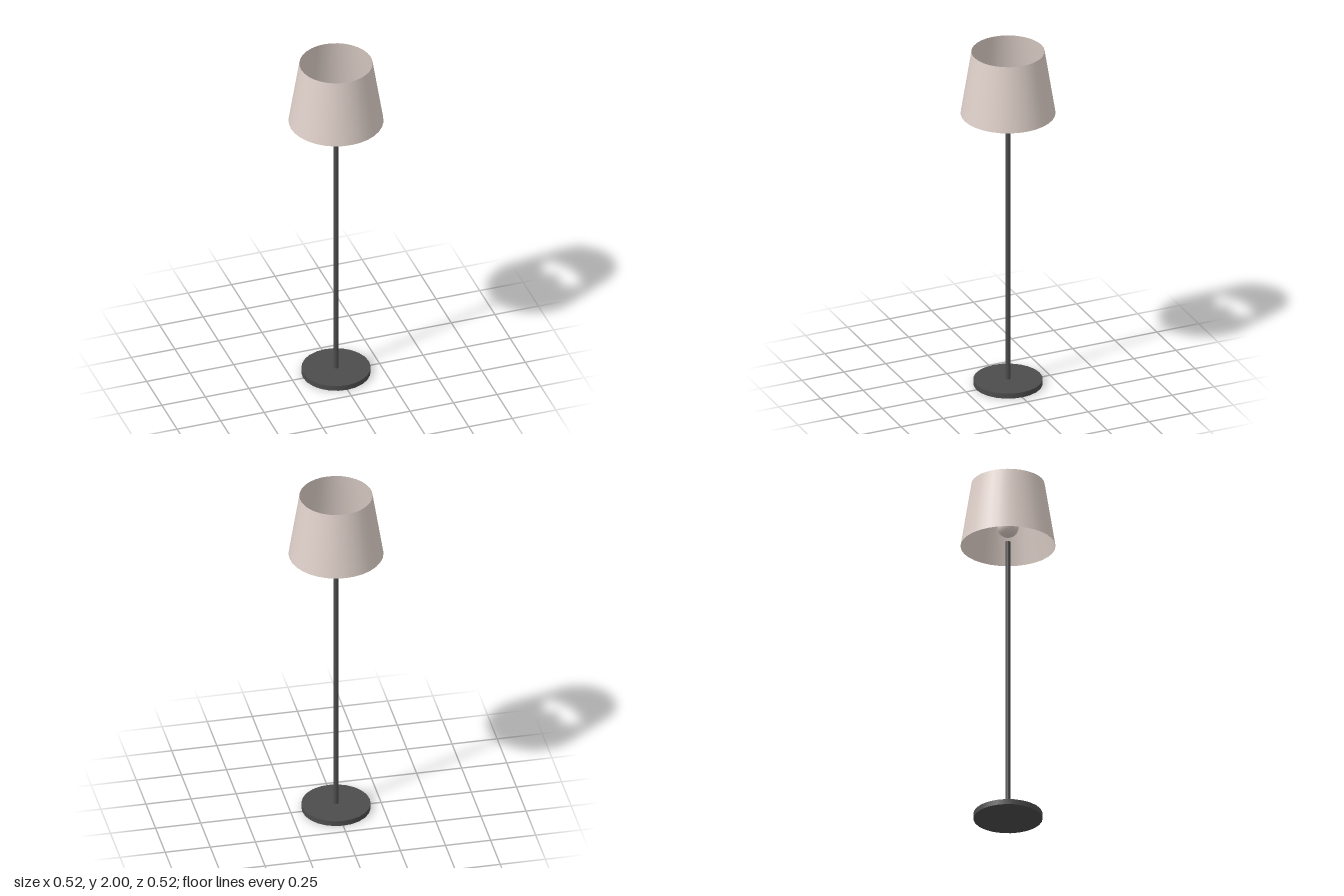
import * as THREE from 'three';

export function createModel() {
  const lamp = new THREE.Group();
  lamp.name = 'floorLamp';

  const darkMetal = new THREE.MeshStandardMaterial({ color: 0x4c4c4c });
  darkMetal.name = 'dark metal';
  const paleFabric = new THREE.MeshStandardMaterial({ color: 0xdfd0c9, side: THREE.DoubleSide });
  paleFabric.name = 'pale fabric';

  const add = (name, geometry, material, y) => {
    const mesh = new THREE.Mesh(geometry, material);
    mesh.name = name;
    mesh.position.y = y;
    lamp.add(mesh);
  };

  // Round foot
  add('base', new THREE.CylinderGeometry(0.188, 0.188, 0.03, 24), darkMetal, 0.015);

  // Slim stem, ending just inside the shade
  const poleBottom = 0.03, poleTop = 1.655;
  add('pole', new THREE.CylinderGeometry(0.013, 0.013, poleTop - poleBottom, 12),
    darkMetal, (poleBottom + poleTop) / 2);

  // Globe bulb floating in the shade
  add('bulb', new THREE.SphereGeometry(0.058, 24, 16), paleFabric, 1.743);

  // Tapered shade, open at both ends
  add('shade', new THREE.CylinderGeometry(0.199, 0.258, 0.37, 32, 1, true), paleFabric, 1.815);

  return lamp;
}
